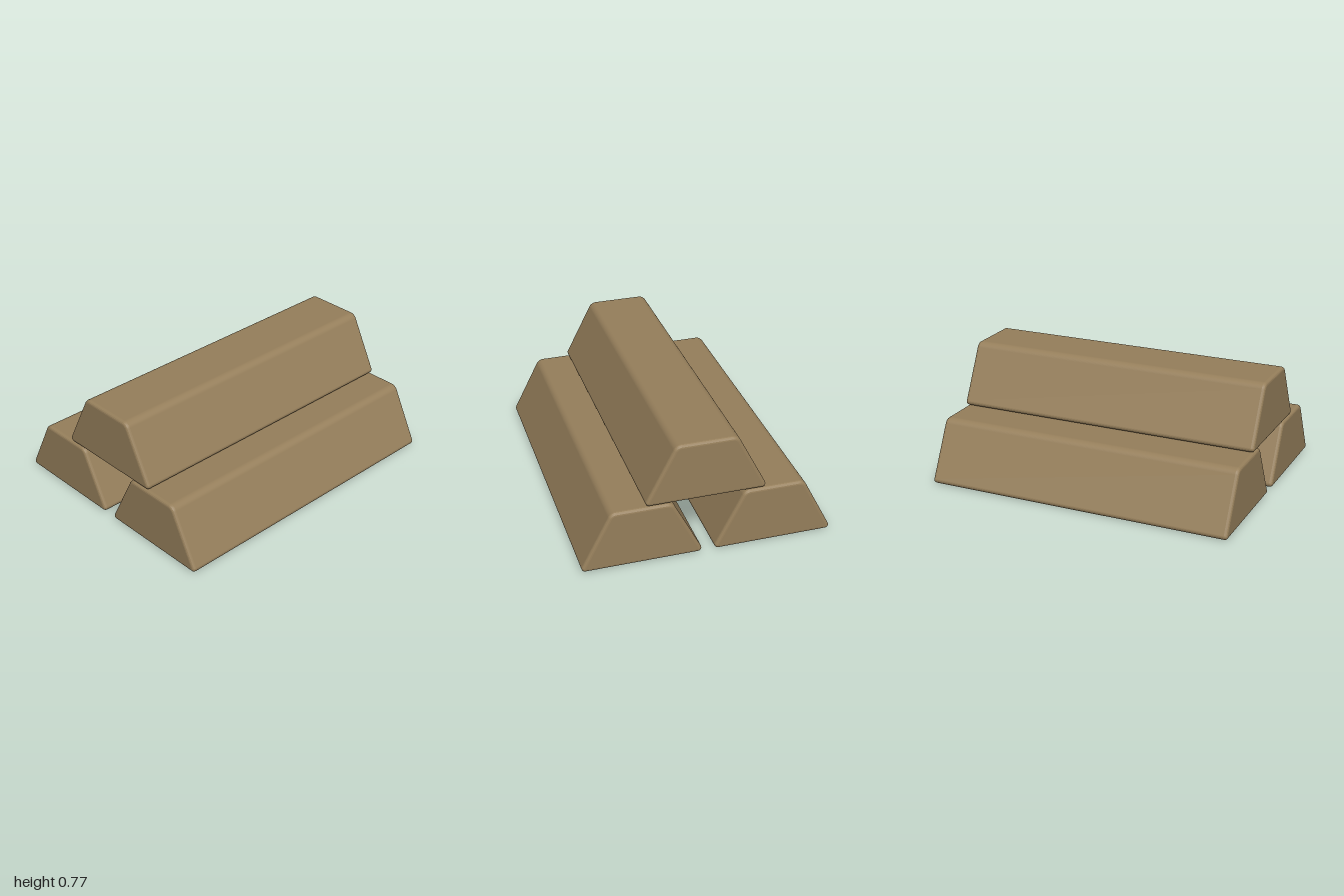
import * as THREE from 'three';

const HEIGHT = 0.383, HALF_BASE = 0.385, SLOPE = 0.515, LENGTH = 2, BEVEL = 0.02;

// Trapezoid with rounded corners: tight at the base, wider at the top
function ingotProfile() {
  const a = Math.atan(SLOPE);
  const rBase = 0.022, rTop = 0.055;
  const xBase = HALF_BASE - rBase / Math.tan((Math.PI / 2 - a) / 2);
  const xTop = HALF_BASE - SLOPE * HEIGHT - rTop / Math.tan((Math.PI / 2 + a) / 2);
  const yTop = HEIGHT - rTop;
  const s = new THREE.Shape();
  s.absarc(xBase, rBase, rBase, -Math.PI / 2, a);
  s.absarc(xTop, yTop, rTop, a, Math.PI / 2);
  s.absarc(-xTop, yTop, rTop, Math.PI / 2, Math.PI - a);
  s.absarc(-xBase, rBase, rBase, Math.PI - a, Math.PI * 1.5);
  return s;
}

export function createModel() {
  const group = new THREE.Group();
  group.name = 'ingotStack';
  const material = new THREE.MeshStandardMaterial({ color: 0x967f5b });

  // One bar with softened end edges, shared by all three
  const geometry = new THREE.ExtrudeGeometry(ingotProfile(), {
    depth: LENGTH - 2 * BEVEL,
    curveSegments: 6,
    bevelEnabled: true,
    bevelSize: BEVEL,
    bevelThickness: BEVEL,
    bevelOffset: -BEVEL,
    bevelSegments: 4,
  });
  geometry.translate(0, 0, -LENGTH / 2 + BEVEL);

  // Two bars side by side, one resting across the gap
  const places = [
    ['rightIngot', -0.414, 0],
    ['leftIngot', 0.411, 0],
    ['topIngot', 0.017, 0.388],
  ];
  for (const [name, x, y] of places) {
    const bar = new THREE.Mesh(geometry, material);
    bar.name = name;
    bar.position.set(x, y, 0);
    group.add(bar);
  }
  return group;
}
